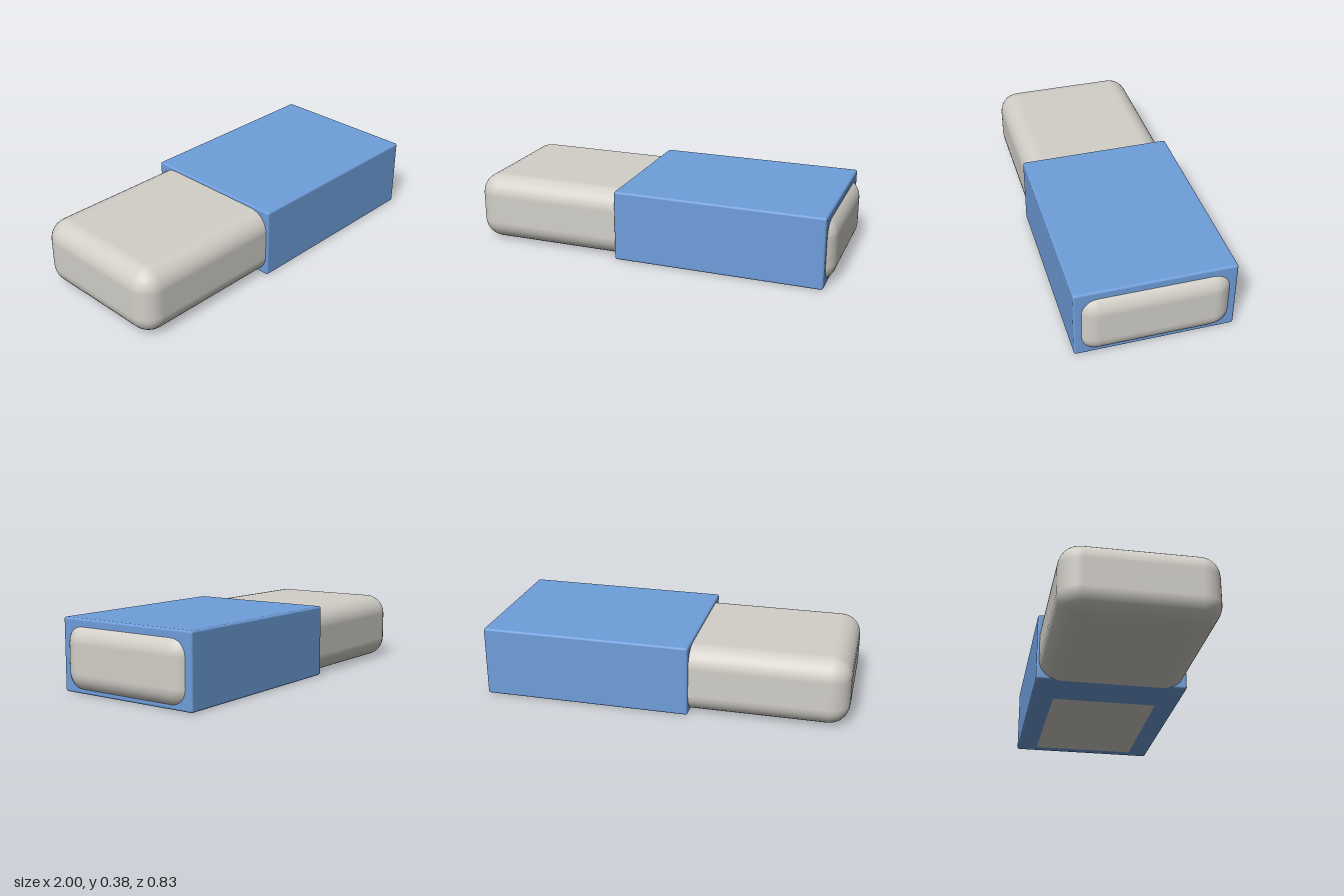
import * as THREE from 'three';
import { RoundedBoxGeometry } from 'three/addons/geometries/RoundedBoxGeometry.js';

const rubber = new THREE.MeshStandardMaterial({ name: 'warm grey rubber', color: 0xd2cfc8 });
const card = new THREE.MeshStandardMaterial({ name: 'blue card', color: 0x6f9edb });

function roundedPart(name, material, size, segments, radius, centre) {
  const mesh = new THREE.Mesh(new RoundedBoxGeometry(...size, segments, radius), material);
  mesh.name = name;
  mesh.position.set(...centre);
  return mesh;
}

export function createModel() {
  const group = new THREE.Group();
  group.name = 'eraser';

  // soft block, rounded on every edge
  group.add(roundedPart('rubberBlock', rubber, [2, 0.368, 0.8], 4, 0.11, [0, 0.184, 0]));

  // crisp sleeve wrapped round the block, resting a hair off level
  const sleeve = roundedPart('sleeve', card, [1.126, 0.383, 0.826], 2, 0.012, [0.398, 0.1918, 0]);
  sleeve.rotation.z = 0.001;
  group.add(sleeve);

  return group;
}
